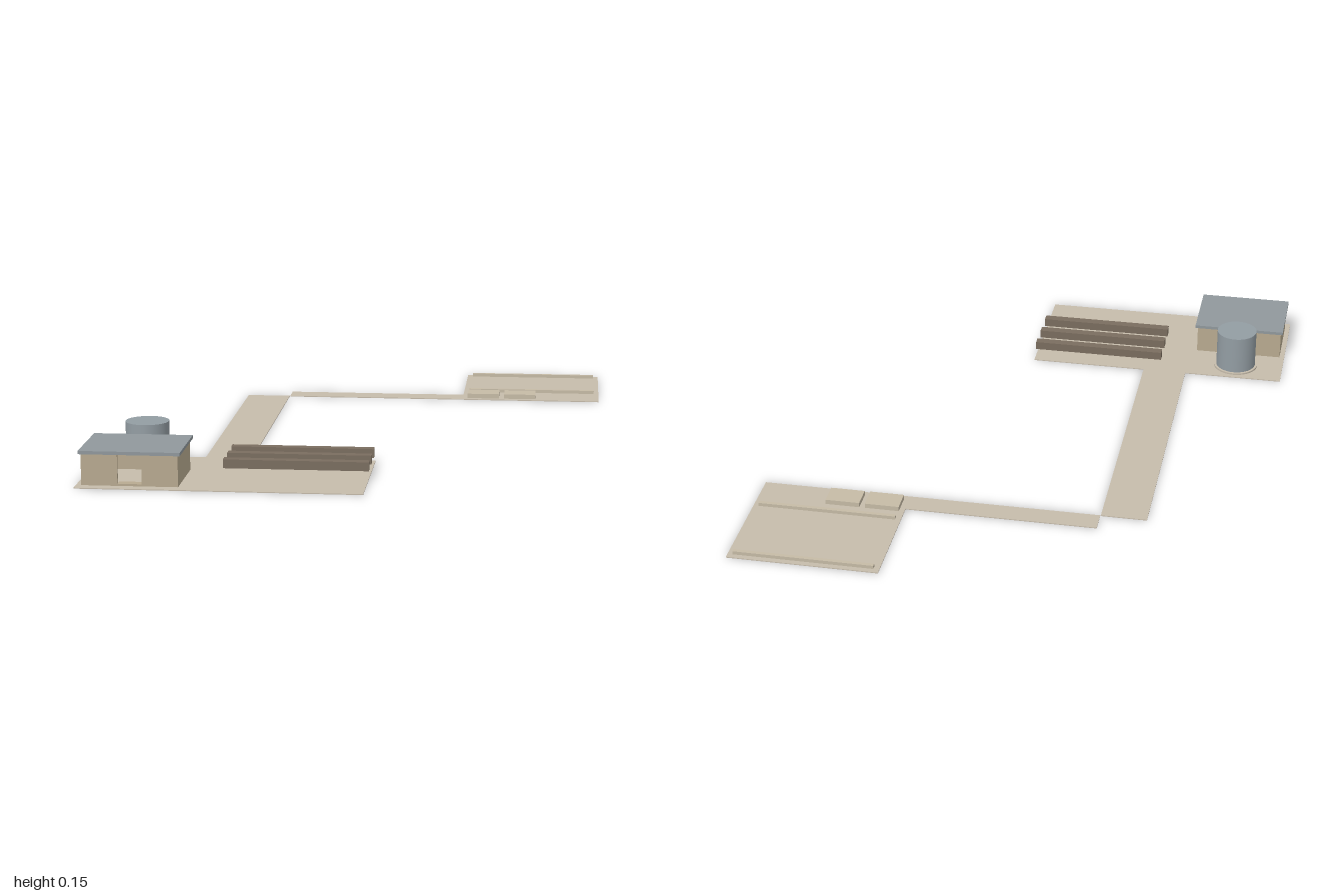
import * as THREE from 'three';

const mat = (color) => new THREE.MeshStandardMaterial({ color });

export function createModel() {
  const model = new THREE.Group();
  const paving = mat(0xc6bcab), wall = mat(0xb8aa90), roofGrey = mat(0x90989c);
  const tankGrey = mat(0x939da3), timber = mat(0x7a6d5f), stone = mat(0xc6bba6);

  // box given by its extents on each axis
  const box = (name, material, [x0, x1], [y0, y1], [z0, z1], parent = model) => {
    const mesh = new THREE.Mesh(new THREE.BoxGeometry(x1 - x0, y1 - y0, z1 - z0), material);
    mesh.position.set((x0 + x1) / 2, (y0 + y1) / 2, (z0 + z1) / 2);
    mesh.name = name;
    parent.add(mesh);
  };

  // thin ground slabs joined by two paths
  const ground = [0, 0.003];
  box('yard', paving, [-0.858, 0.088], ground, [0.533, 1]);
  box('longPath', paving, [-0.497, -0.337], ground, [-0.52, 0.533]);
  box('crossPath', paving, [-0.335, 0.333], ground, [-0.6, -0.52]);
  box('farPad', paving, [0.333, 0.855], ground, [-1, -0.52]);

  // hut with an open doorway at the front and a flat overhanging roof
  const hut = new THREE.Group();
  hut.name = 'hut';
  model.add(hut);
  const h = [0.003, 0.108], t = 0.01;
  box('backWall', wall, [-0.84, -0.52], h, [0.72, 0.72 + t], hut);
  for (const [a, b] of [[-0.84, -0.84 + t], [-0.52 - t, -0.52]]) {
    box('sideWall', wall, [a, b], h, [0.72 + t, 0.963 - t], hut);
  }
  for (const [a, b] of [[-0.84, -0.72], [-0.64, -0.52]]) {
    box('frontWall', wall, [a, b], h, [0.963 - t, 0.963], hut);
  }
  box('doorSill', wall, [-0.72, -0.64], [0.003, 0.01], [0.93, 0.963], hut);
  box('roof', roofGrey, [-0.848, -0.512], [0.108, 0.119], [0.705, 0.97], hut);

  // round tank on a low footing
  const cylinder = (name, material, r, y0, y1) => {
    const mesh = new THREE.Mesh(new THREE.CylinderGeometry(r, r, y1 - y0, 32), material);
    mesh.position.set(-0.679, (y0 + y1) / 2, 0.633);
    mesh.name = name;
    model.add(mesh);
  };
  cylinder('tankFooting', paving, 0.083, 0.003, 0.009);
  cylinder('tank', tankGrey, 0.074, 0.009, 0.15);

  // three long raised beams
  for (const z of [0.586, 0.682, 0.779]) {
    box('beam', timber, [-0.398, 0.088], [0.029, 0.059], [z - 0.016, z + 0.016]);
  }

  // low kerbs and blocks on the far pad
  for (const z of [-0.974, -0.667]) {
    box('kerb', stone, [0.353, 0.837], [0.003, 0.015], [z - 0.007, z + 0.007]);
  }
  for (const x of [0.352, 0.492]) {
    box('lowBlock', stone, [x, x + 0.12], [0.003, 0.02], [-0.62, -0.54]);
  }

  return model;
}
